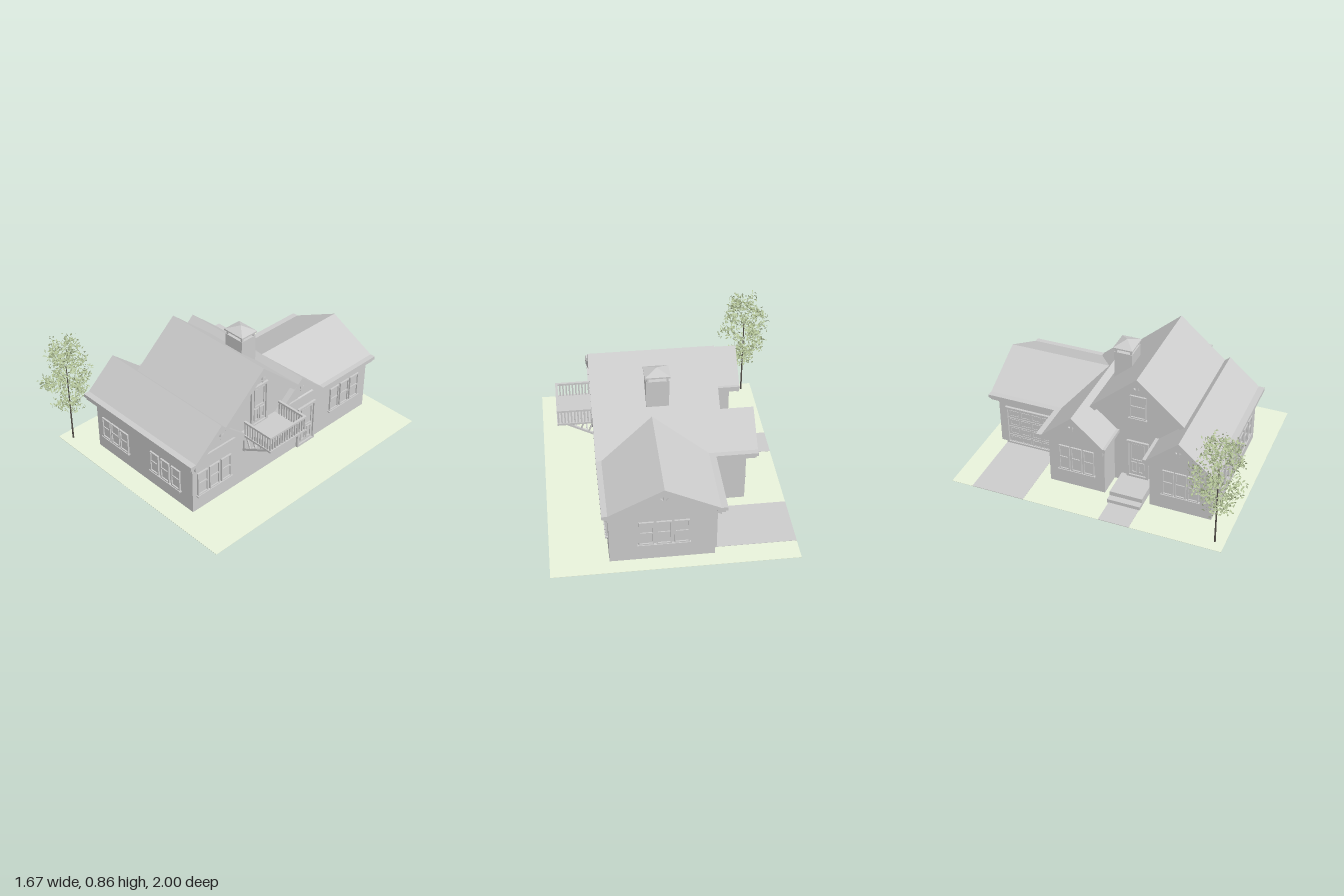
import * as THREE from 'three';

const grey = new THREE.MeshStandardMaterial({ color: 0xcccccc, flatShading: true });
const grass = new THREE.MeshStandardMaterial({ color: 0xe8f2da });
const leafy = new THREE.MeshStandardMaterial({ color: 0xb4c498, side: THREE.DoubleSide });
const bark = new THREE.MeshStandardMaterial({ color: 0x55504a });

function add(parent, name, geo, mat = grey) {
  const m = new THREE.Mesh(geo, mat);
  m.name = name;
  parent.add(m);
  return m;
}
function box(parent, name, x0, x1, y0, y1, z0, z1, mat) {
  const m = add(parent, name, new THREE.BoxGeometry(x1 - x0, y1 - y0, z1 - z0), mat);
  m.position.set((x0 + x1) / 2, (y0 + y1) / 2, (z0 + z1) / 2);
  return m;
}
// Square bar between two points
function bar(parent, name, a, b, t) {
  const p = new THREE.Vector3(...a), q = new THREE.Vector3(...b);
  const m = add(parent, name, new THREE.BoxGeometry(t, t, p.distanceTo(q)));
  m.position.copy(p).add(q).multiplyScalar(0.5);
  m.lookAt(q);
  return m;
}
const toShape = pts => new THREE.Shape(pts.map(p => new THREE.Vector2(...p)));
// Profile of [z, y] points swept along x
function sweepX(parent, name, pts, x0, x1) {
  const g = new THREE.ExtrudeGeometry(toShape(pts.map(([z, y]) => [-z, y])), { depth: x1 - x0, bevelEnabled: false });
  return add(parent, name, g.rotateY(Math.PI / 2).translate(x0, 0, 0));
}
// Profile of [x, y] points swept along z
function sweepZ(parent, name, pts, z0, z1) {
  const g = new THREE.ExtrudeGeometry(toShape(pts), { depth: z1 - z0, bevelEnabled: false });
  return add(parent, name, g.translate(0, 0, z0));
}
// Inverted V: ridge centre c, ridge height y, half width h, slope s, thickness t
const chevron = (c, y, h, s, t) => [[c - h, y - h * s], [c, y], [c + h, y - h * s],
  [c + h, y - h * s - t], [c, y - t], [c - h, y - h * s - t]];

// Rectangular ring in the xy plane, back on z = 0
function ring(parent, name, x, y, w, h, b, d) {
  const s = toShape([[x - w / 2, y - h / 2], [x + w / 2, y - h / 2], [x + w / 2, y + h / 2], [x - w / 2, y + h / 2]]);
  const u = w / 2 - b, v = h / 2 - b;
  s.holes.push(new THREE.Path([[x - u, y - v], [x - u, y + v], [x + u, y + v], [x + u, y - v]].map(p => new THREE.Vector2(...p))));
  return add(parent, name, new THREE.ExtrudeGeometry(s, { depth: d, bevelEnabled: false }));
}
function mount(parent, name, x, y, z, turn) {
  const g = new THREE.Group();
  g.name = name;
  g.position.set(x, y, z);
  g.rotation.y = turn;
  parent.add(g);
  return g;
}
// Row of sash windows, centred on the given point
function windows(parent, x, y, z, turn, n = 3, w = 0.08, h = 0.16, pitch = 0.095) {
  const g = mount(parent, 'sashWindows', x, y, z, turn);
  for (let i = 0; i < n; i++) {
    const c = (i - (n - 1) / 2) * pitch;
    ring(g, 'windowFrame', c, 0, w, h, 0.008, 0.012);
    box(g, 'windowPane', c - w / 2, c + w / 2, -h / 2, h / 2, -0.002, 0.003);
    box(g, 'meetingRail', c - w / 2, c + w / 2, -0.006, 0.006, 0, 0.01);
  }
  const half = ((n - 1) * pitch + w) / 2 + 0.008;
  box(g, 'windowSill', -half, half, -h / 2 - 0.01, -h / 2, 0, 0.018);
}
// Door standing on the given point
function door(parent, name, x, y, z, turn, w, h) {
  const g = mount(parent, name, x, y, z, turn);
  ring(g, 'doorFrame', 0, h / 2, w, h, 0.016, 0.016);
  box(g, 'doorLeaf', -w / 2, w / 2, 0, h, 0, 0.005);
  ring(g, 'doorLight', 0, h * 0.7, w * 0.62, h * 0.46, 0.007, 0.012);
  for (const s of [-1, 1]) ring(g, 'doorPanel', s * w * 0.17, h * 0.27, w * 0.27, h * 0.3, 0.008, 0.012);
}
// Barge boards and king post bracket on a gable facing +x (side 1) or -x (side -1)
function gableTrim(parent, x, side, z, y, h, s) {
  const a = Math.min(x, x - side * 0.015), b = a + 0.015;
  sweepX(parent, 'bargeBoard', chevron(z, y - 0.012, h, s, 0.04), a, b);
  box(parent, 'kingPost', a, b, y - 0.1, y - 0.03, z - 0.008, z + 0.008);
  for (const k of [-1, 1]) bar(parent, 'gableBrace', [(a + b) / 2, y - 0.095, z], [(a + b) / 2, y - 0.068, z + k * 0.036], 0.012);
}

function foliage() {
  let seed = 7;
  const rnd = () => (seed = (seed * 16807) % 2147483647) / 2147483647;
  const pos = [], clumps = [];
  for (let i = 0; i < 42; i++) {
    const t = rnd(), a = rnd() * 6.283, r = Math.sqrt(rnd()) * 0.15 * Math.pow(Math.sin(Math.PI * (0.15 + 0.75 * t)), 0.7);
    clumps.push([r * Math.cos(a), 0.29 + 0.5 * t, r * Math.sin(a)]);
  }
  for (let i = 0; i < 1500; i++) {
    const c = clumps[i % clumps.length];
    const p = c.map(v => v + (rnd() + rnd() - 1) * 0.055);
    const u = new THREE.Vector3(rnd() - 0.5, rnd() - 0.5, rnd() - 0.5).setLength(0.013);
    const v = new THREE.Vector3(rnd() - 0.5, rnd() - 0.5, rnd() - 0.5).cross(u).setLength(0.006);
    const q = [[-1, 0], [0, -1], [1, 0], [-1, 0], [1, 0], [0, 1]];
    for (const [m, n] of q) {
      pos.push(THREE.MathUtils.clamp(p[0] + m * u.x + n * v.x, -0.19, 0.19), p[1] + m * u.y + n * v.y,
        THREE.MathUtils.clamp(p[2] + m * u.z + n * v.z, -0.195, 0.195));
    }
  }
  const g = new THREE.BufferGeometry();
  g.setAttribute('position', new THREE.Float32BufferAttribute(pos, 3));
  g.computeVertexNormals();
  return g;
}

export function createModel() {
  const house = new THREE.Group();
  house.name = 'house';
  const P = Math.PI / 2;

  // Ground
  box(house, 'lawn', -0.72, 0.84, 0.001, 0.003, -1, 0.87, grass);
  box(house, 'driveway', -0.72, -0.19, 0.002, 0.005, -0.85, -0.48);
  box(house, 'path', -0.72, -0.53, 0.002, 0.005, 0.05, 0.26);

  // Walls
  sweepX(house, 'frontBlock', [[0.72, 0], [0.72, 0.395], [0.51, 0.578], [0.3, 0.395], [0.3, 0]], -0.46, 0.47);
  sweepX(house, 'rearBlock', [[-0.01, 0], [-0.01, 0.4], [-0.205, 0.57], [-0.4, 0.4], [-0.4, 0]], -0.46, 0.47);
  sweepX(house, 'middleBlock', [[0.31, 0], [0.31, 0.41], [0.46, 0.45], [0.46, 0.56], [0.155, 0.825], [-0.15, 0.56],
    [-0.15, 0.45], [-0.02, 0.41], [-0.02, 0]], -0.29, 0.47);
  sweepZ(house, 'garageWing', [[-0.19, 0], [0.47, 0], [0.47, 0.395], [0.13, 0.565], [-0.19, 0.395]], -0.9, -0.39);

  // Roofs
  sweepX(house, 'frontRoof', chevron(0.51, 0.597, 0.215, 0.87, 0.025), -0.53, 0.51);
  sweepX(house, 'rearRoof', chevron(-0.205, 0.597, 0.213, 0.87, 0.025), -0.53, 0.51);
  sweepX(house, 'upperRoof', chevron(0.155, 0.846, 0.325, 0.877, 0.025), -0.32, 0.51);
  sweepZ(house, 'garageRoof', chevron(0.13, 0.585, 0.348, 0.503, 0.025), -0.94, -0.215);
  sweepZ(house, 'garageBargeBoard', chevron(0.13, 0.575, 0.348, 0.503, 0.04), -0.938, -0.922);
  box(house, 'garageKingPost', 0.122, 0.138, 0.475, 0.555, -0.938, -0.922);
  for (const k of [-1, 1]) bar(house, 'garageGableBrace', [0.13, 0.48, -0.93], [0.13 + k * 0.045, 0.53, -0.93], 0.012);
  for (const [x, side] of [[0.508, 1], [-0.528, -1]]) {
    gableTrim(house, x, side, 0.51, 0.595, 0.215, 0.87);
    gableTrim(house, x, side, -0.205, 0.595, 0.213, 0.87);
  }
  gableTrim(house, 0.508, 1, 0.155, 0.845, 0.32, 0.877);
  gableTrim(house, -0.318, -1, 0.155, 0.845, 0.32, 0.877);

  // Gutters: wide upper lip over a narrower fascia, [x0, x1, z0, z1]
  for (const [x0, x1, z0, z1] of [[-0.53, 0.51, 0.715, 0.765], [-0.53, -0.29, 0.275, 0.305], [-0.53, -0.29, -0.01, 0.025],
    [-0.53, -0.2, -0.455, -0.41], [-0.255, -0.19, -0.94, -0.41], [0.465, 0.51, -0.94, -0.41]]) {
    box(house, 'gutter', x0, x1, 0.388, 0.412, z0, z1);
    box(house, 'fascia', x0 + 0.012, x1 - 0.012, 0.37, 0.388, z0 + 0.008, z1 - 0.008);
  }
  box(house, 'gableBand', 0.465, 0.482, 0.375, 0.41, -0.42, 0.72);

  // Chimney with raised cap
  box(house, 'chimneyStack', 0.008, 0.157, 0.4, 0.79, -0.13, -0.005);
  for (const x of [0.018, 0.147]) for (const z of [-0.12, -0.015]) box(house, 'capPost', x - 0.007, x + 0.007, 0.785, 0.822, z - 0.007, z + 0.007);
  box(house, 'chimneyCap', 0, 0.165, 0.815, 0.825, -0.135, 0);
  const cap = add(house, 'capPyramid', new THREE.ConeGeometry(Math.SQRT1_2, 0.034, 4).rotateY(Math.PI / 4));
  cap.scale.set(0.165, 1, 0.135);
  cap.position.set(0.0825, 0.842, -0.0675);

  // Windows
  windows(house, -0.27, 0.193, 0.72, 0, 3, 0.08, 0.155, 0.09);
  windows(house, 0.22, 0.193, 0.72, 0, 3, 0.08, 0.155, 0.1);
  windows(house, 0.47, 0.21, 0.54, P, 3, 0.085, 0.175, 0.1);
  windows(house, 0.47, 0.23, -0.675, P, 3, 0.085, 0.18, 0.1);
  windows(house, 0.13, 0.22, -0.9, Math.PI, 3, 0.095, 0.18, 0.11);
  windows(house, -0.46, 0.22, 0.51, -P, 3, 0.075, 0.19, 0.085);
  windows(house, -0.46, 0.22, -0.205, -P, 3, 0.075, 0.19, 0.085);
  windows(house, -0.29, 0.62, 0.155, -P, 1, 0.11, 0.17);

  // Doors
  door(house, 'sideDoor', 0.47, 0.003, -0.297, P, 0.165, 0.315);
  door(house, 'balconyDoor', 0.47, 0.41, 0.155, P, 0.145, 0.3);
  door(house, 'frontDoor', -0.29, 0.06, 0.155, -P, 0.15, 0.29);
  const garage = mount(house, 'garageDoor', -0.19, 0.003, -0.665, -P);
  ring(garage, 'garageDoorFrame', 0, 0.15, 0.37, 0.3, 0.016, 0.018);
  for (let r = 0; r < 4; r++) {
    box(garage, 'garageDoorSection', -0.17, 0.17, r * 0.071 + 0.002, r * 0.071 + 0.069, 0, 0.005);
    for (let c = 0; c < 4; c++) ring(garage, 'garageDoorPanel', -0.123 + c * 0.082, r * 0.071 + 0.036, 0.068, 0.046, 0.006, 0.009);
  }

  // Entrance steps
  box(house, 'landing', -0.5, -0.28, 0, 0.06, 0.04, 0.265);
  box(house, 'lowerStep', -0.545, -0.5, 0, 0.03, 0.04, 0.265);

  // Balcony: deck, railing and braced supports
  box(house, 'balconyDeck', 0.47, 0.735, 0.403, 0.417, -0.01, 0.315);
  const posts = (x0, z0, x1, z1, n) => {
    for (let i = 0; i <= n; i++) {
      const x = x0 + (x1 - x0) * i / n, z = z0 + (z1 - z0) * i / n;
      box(house, 'baluster', x - 0.005, x + 0.005, 0.415, 0.51, z - 0.005, z + 0.005);
    }
    box(house, 'handrail', x0 - 0.008, x1 + 0.008, 0.505, 0.519, z0 - 0.008, z1 + 0.008);
  };
  posts(0.51, 0, 0.725, 0, 10);
  posts(0.51, 0.305, 0.725, 0.305, 10);
  posts(0.725, 0, 0.725, 0.305, 14);
  for (const z of [0.045, 0.28]) {
    bar(house, 'supportStrut', [0.47, 0.262, z], [0.728, 0.405, z], 0.014);
    box(house, 'wallPost', 0.47, 0.485, 0.255, 0.41, z - 0.008, z + 0.008);
    for (let i = 0; i < 4; i++) {
      const x = 0.53 + i * 0.05;
      bar(house, 'supportBrace', [x - 0.045 + i * 0.009, 0.405, z], [x, 0.262 + (x - 0.47) * 0.554, z], 0.009);
    }
  }
  for (const x of [0.54, 0.61, 0.67]) {
    const y = 0.262 + (x - 0.47) * 0.554;
    bar(house, 'crossBeam', [x, y, 0.045], [x, y, 0.28], 0.01);
  }

  // Tree
  const tree = mount(house, 'tree', -0.643, 0, 0.805, 0);
  add(tree, 'trunk', new THREE.CylinderGeometry(0.003, 0.006, 0.6, 8).translate(0, 0.3, 0), bark);
  add(tree, 'foliage', foliage(), leafy);
  return house;
}
